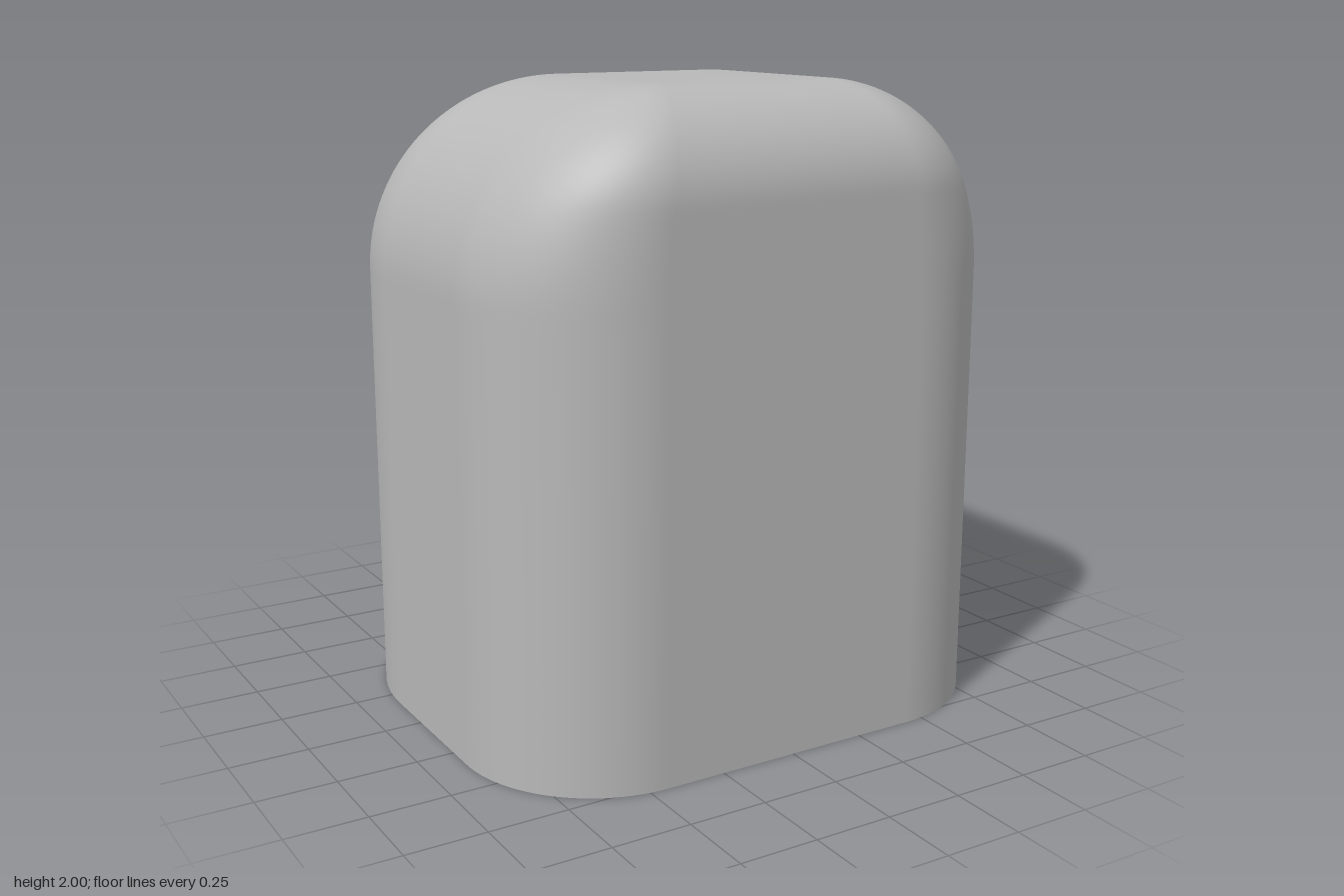
import * as THREE from 'three';

const HALF_W = 0.88, HALF_D = 0.785, HEIGHT = 2;
const FILLET = { side: 0.6, front: 0.32, back: 0.65 };  // top edge radii
const CORNER = { front: 0.44, back: 0.61 };             // vertical edge radii
const CORNER_STEPS = 24, DOME_STEPS = 36;

// How far a top fillet has pulled the wall inward at height y
function inset(y, r, top) {
  const h = Math.max(0, y - (top - r));
  return r - Math.sqrt(Math.max(0, r * r - h * h));
}

// Rounded footprint at height y, for a shell offset inward by t
function section(y, t = 0) {
  const top = HEIGHT - t;
  const rs = FILLET.side - t, rf = FILLET.front - t, rb = FILLET.back - t;
  const s = inset(y, rs, top), f = inset(y, rf, top), b = inset(y, rb, top);
  const w = HALF_W - t - s;
  const zFront = HALF_D - t - f, zBack = -HALF_D + t + b;
  const ring = [];
  for (let q = 0; q < 4; q++) {
    const isFront = q < 2, sx = q === 0 || q === 3 ? 1 : -1, sz = isFront ? 1 : -1;
    const c = (isFront ? CORNER.front : CORNER.back) - t;
    const rx = Math.max(0.004, c * (1 - s / rs));
    const rz = Math.max(0.004, c * (1 - (isFront ? f / rf : b / rb)));
    const cx = sx * (w - rx), cz = (isFront ? zFront : zBack) - sz * rz;
    for (let i = 0; i <= CORNER_STEPS; i++) {
      const a = (q + i / CORNER_STEPS) * Math.PI / 2;
      ring.push([cx + rx * Math.cos(a), y, cz + rz * Math.sin(a)]);
    }
  }
  return ring;
}

// Smooth skin over a list of closed rings
function loft(rings) {
  const n = rings[0].length, index = [];
  for (let j = 0; j < rings.length - 1; j++) {
    for (let i = 0; i < n; i++) {
      const k = (i + 1) % n;
      const a = j * n + i, b = j * n + k, c = a + n, d = b + n;
      index.push(a, c, b, b, c, d);
    }
  }
  const geometry = new THREE.BufferGeometry();
  geometry.setAttribute('position', new THREE.Float32BufferAttribute(rings.flat(2), 3));
  geometry.setIndex(index);
  geometry.computeVertexNormals();
  return geometry;
}

// Straight wall, filleted dome and flat top
function domeRings(bottom, t) {
  const top = HEIGHT - t, r = FILLET.back - t;
  const rings = [section(bottom, t)];
  for (let i = 0; i <= DOME_STEPS; i++) {
    rings.push(section(top - r + r * Math.sin(i / DOME_STEPS * Math.PI / 2), t));
  }
  rings.push(rings[0].map(() => [0, top, 0.15]));
  return rings;
}

export function createModel() {
  const group = new THREE.Group();
  group.name = 'roundedCap';
  const grey = new THREE.MeshStandardMaterial({ color: 0xb8b8b8 });
  grey.name = 'grey';

  const add = (name, rings) => {
    const mesh = new THREE.Mesh(loft(rings), grey);
    mesh.name = name;
    group.add(mesh);
  };

  const rim = 0.065, wall = 0.1, lip = 0.05;
  add('outerShell', domeRings(0, 0));
  add('bottomRim', [section(0, rim), section(0, 0)]);
  // Stepped recess around the opening
  add('lipWall', [section(lip, rim), section(0, rim)]);
  add('lipLedge', [section(lip, wall), section(lip, rim)]);
  add('innerShell', domeRings(lip, wall).reverse());
  return group;
}
